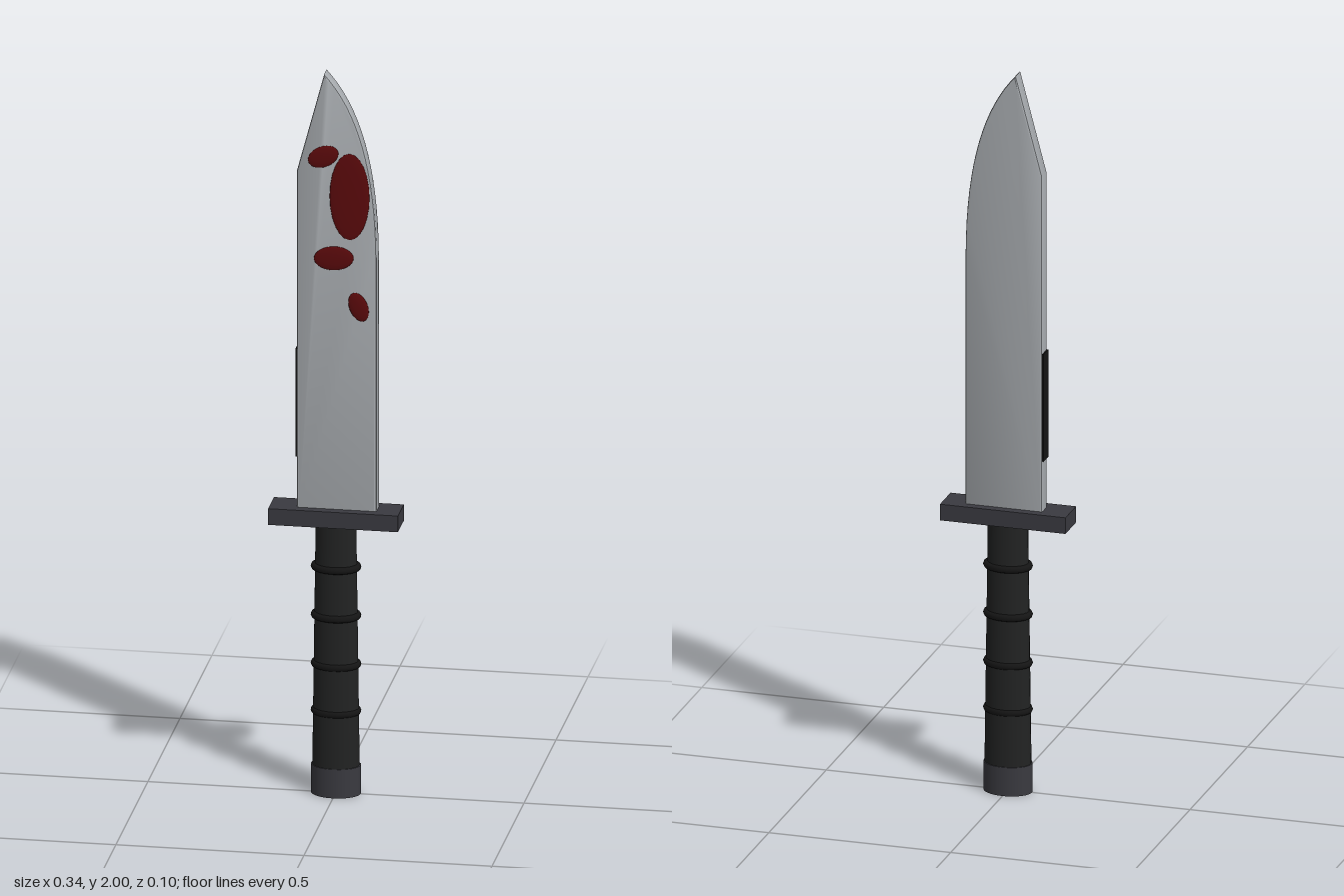
import * as THREE from 'three';
import { toCreasedNormals } from 'three/addons/utils/BufferGeometryUtils.js';

const material = (name, color) => Object.assign(new THREE.MeshStandardMaterial({ color }), { name });

export function createModel() {
  const steel = material('steel', 0xa9adb1);
  const gunmetal = material('gunmetal', 0x3a3a40);
  const grip = material('gripBlack', 0x222323);
  const rubber = material('ringBlack', 0x151515);
  const red = material('darkRed', 0x5c0a0c);

  const model = new THREE.Group();
  model.name = 'knife';
  const add = (name, geometry, mat, x = 0, y = 0, z = 0) => {
    const mesh = new THREE.Mesh(geometry, mat);
    mesh.name = name;
    mesh.position.set(x, y, z);
    model.add(mesh);
    return mesh;
  };

  // Blade: clipped spine on -x, curved cutting edge on +x
  const outline = new THREE.Shape();
  outline.moveTo(-0.101, 0.78);
  outline.lineTo(0.111, 0.78);
  outline.lineTo(0.111, 1.5);
  outline.quadraticCurveTo(0.108, 1.86, -0.028, 2.004);
  outline.lineTo(-0.101, 1.73);
  outline.closePath();
  const bladeGeometry = new THREE.ExtrudeGeometry(outline, {
    depth: 0.032, curveSegments: 16,
    bevelEnabled: true, bevelSize: 0.006, bevelOffset: -0.006, bevelThickness: 0.006, bevelSegments: 2,
  });
  add('blade', toCreasedNormals(bladeGeometry, 0.5), steel, 0, 0, -0.0175);

  // Dark strip along the spine
  add('spineStrip', new THREE.BoxGeometry(0.006, 0.3, 0.04), rubber, -0.1015, 1.085, -0.0015);

  // Guard
  add('guard', new THREE.BoxGeometry(0.345, 0.045, 0.092), gunmetal, 0, 0.7725, -0.001);

  // Oval handle, rings and pommel
  const depthScale = 0.74;
  add('handle', new THREE.CylinderGeometry(0.054, 0.063, 0.68, 24), grip, 0, 0.415, -0.001).scale.z = depthScale;
  [0.23, 0.36, 0.495, 0.63].forEach((y, i) => {
    const ring = new THREE.TorusGeometry(0.057, 0.01, 8, 28).rotateX(Math.PI / 2);
    add(`gripRing${i + 1}`, ring, rubber, 0, y, -0.001).scale.z = depthScale;
  });
  add('pommel', new THREE.CylinderGeometry(0.066, 0.066, 0.08, 24), gunmetal, 0, 0.04, -0.001).scale.z = depthScale;

  // Flattened red spots on the front: x, y, half width, half height, tilt
  [
    [0.04, 1.667, 0.053, 0.12, 0],
    [-0.03, 1.775, 0.043, 0.028, 0.45],
    [-0.002, 1.494, 0.053, 0.033, 0.08],
    [0.064, 1.362, 0.025, 0.041, 0.35],
  ].forEach(([x, y, rx, ry, tilt], i) => {
    const spot = add(`redSpot${i + 1}`, new THREE.SphereGeometry(1, 24, 12), red, x, y, 0.0225);
    spot.scale.set(rx, ry, 0.0045);
    spot.rotation.z = tilt;
  });

  return model;
}
